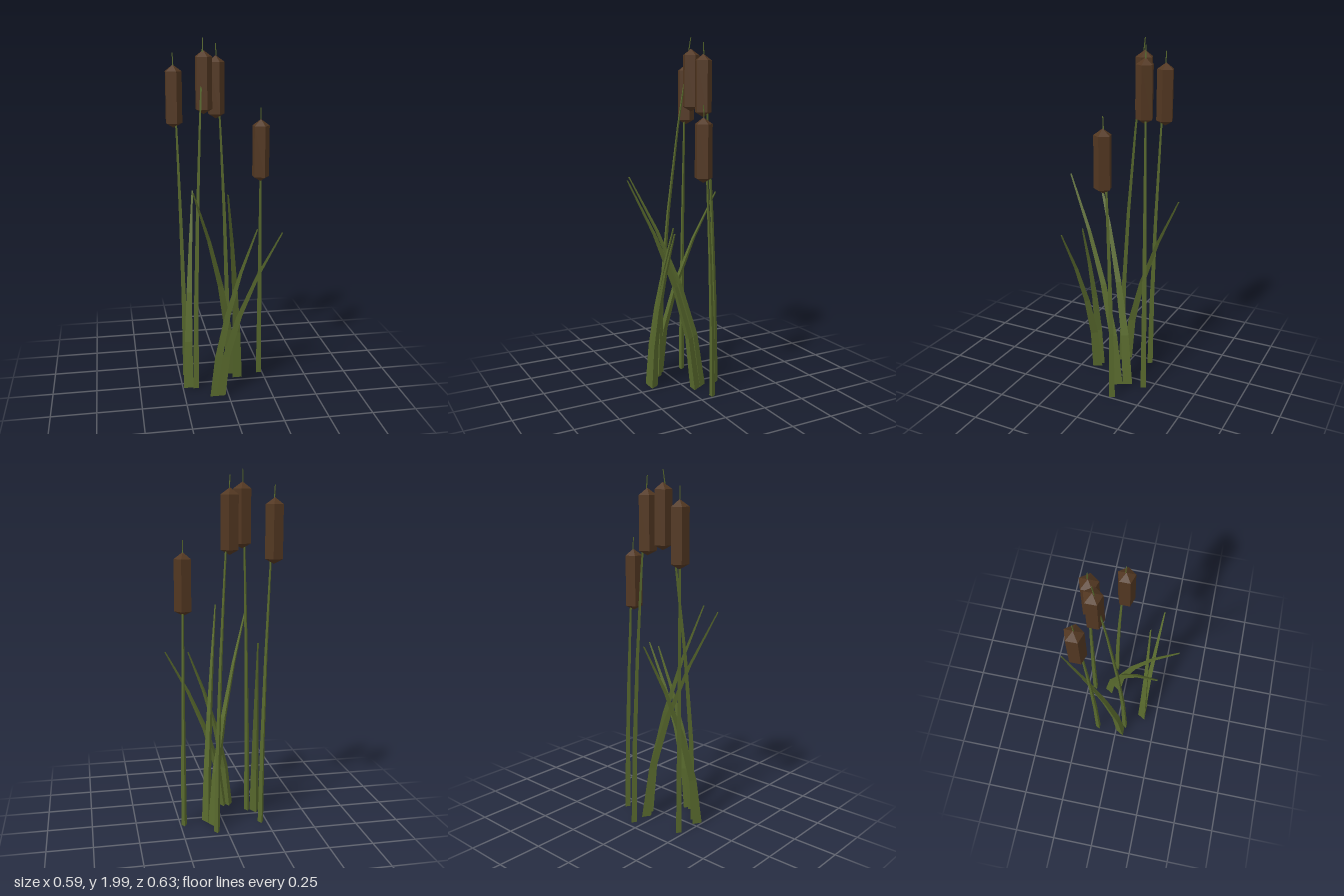
import * as THREE from 'three';

const green = new THREE.MeshStandardMaterial({ color: 0x58692d, flatShading: true });
green.name = 'reedGreen';
const brown = new THREE.MeshStandardMaterial({ color: 0x523721, flatShading: true });
brown.name = 'seedHeadBrown';

const GROUND = 0.006;

// Tapered three-sided stalk that leans in a curve from base [x, z] to tip [x, y, z]
function stalk(name, [bx, bz], [tx, ty, tz], rBase, rTip) {
  const height = ty - GROUND;
  const geo = new THREE.CylinderGeometry(rTip, rBase, height, 3, 4, false, Math.PI);
  geo.translate(0, height / 2, 0);
  const p = geo.attributes.position;
  for (let i = 0; i < p.count; i++) {
    const bend = Math.max(0, p.getY(i) / height) ** 1.7;
    p.setX(i, p.getX(i) + bx + (tx - bx) * bend);
    p.setZ(i, p.getZ(i) + bz + (tz - bz) * bend);
  }
  geo.translate(0, GROUND, 0);
  geo.computeVertexNormals();
  const mesh = new THREE.Mesh(geo, green);
  mesh.name = name;
  return mesh;
}

export function createModel() {
  const group = new THREE.Group();
  group.name = 'cattails';

  // Tall stems, each carrying an upright five-sided seed head near its tip
  const stems = [
    [[-0.215, -0.121], [-0.257, 1.92, -0.171]],
    [[-0.174, 0.056], [-0.095, 2.0, -0.116]],
    [[0.059, -0.199], [-0.02, 1.97, -0.153]],
    [[0.229, -0.079], [0.212, 1.63, -0.022]],
  ];
  const profile = [[0, -0.175], [0.05, -0.148], [0.05, 0.137], [0, 0.173]]
    .map(([r, y]) => new THREE.Vector2(r, y));
  const headGeo = new THREE.LatheGeometry(profile, 5, Math.PI / 2);
  stems.forEach(([base, tip], i) => {
    group.add(stalk(`stem${i + 1}`, base, tip, 0.019, 0.003));
    const head = new THREE.Mesh(headGeo, brown);
    head.name = `seedHead${i + 1}`;
    head.position.set(tip[0] + 0.001, tip[1] - 0.237, tip[2]);
    group.add(head);
  });

  // Shorter, wider leaves with a stronger lean
  const leaves = [
    [[-0.217, 0.037], [-0.138, 1.11, -0.312]],
    [[0.061, -0.096], [-0.2, 1.22, 0.226]],
    [[0.089, -0.046], [-0.03, 1.225, 0.313]],
    [[-0.078, 0.16], [0.166, 0.98, 0.133]],
    [[-0.046, 0.16], [0.293, 0.973, 0.193]],
  ];
  leaves.forEach(([base, tip], i) => {
    group.add(stalk(`leaf${i + 1}`, base, tip, 0.0325, 0.005));
  });

  return group;
}
